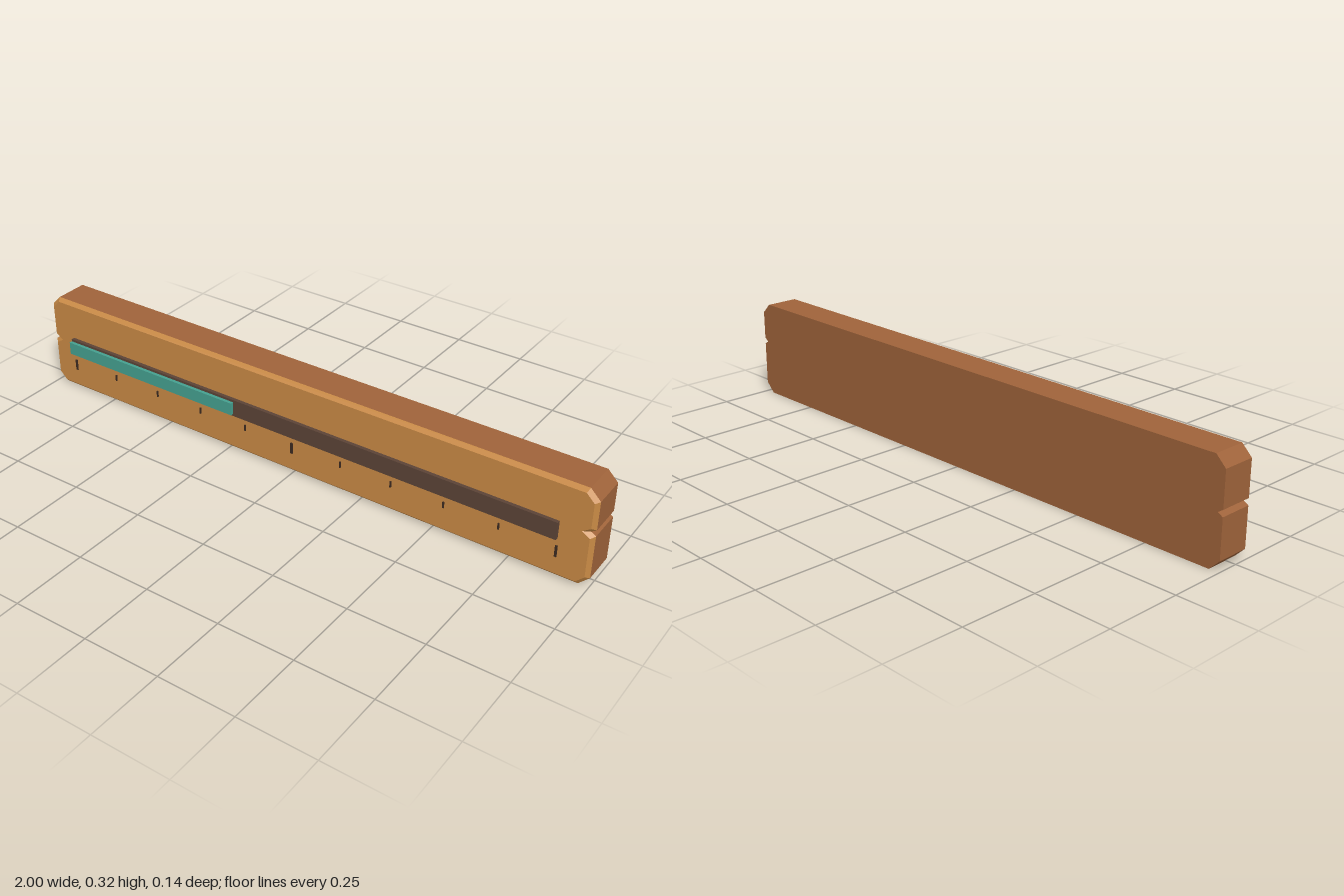
import * as THREE from 'three';

const material = (name, color) => {
  const m = new THREE.MeshStandardMaterial({ color });
  m.name = name;
  return m;
};

// Moves every edge of a counter-clockwise loop inwards by d, with mitred corners
function inset(points, d) {
  const n = points.length;
  const inward = (a, b) => {
    const e = b.clone().sub(a).normalize();
    return new THREE.Vector2(-e.y, e.x);
  };
  return points.map((p, i) => {
    const n1 = inward(points[(i + n - 1) % n], p);
    const n2 = inward(p, points[(i + 1) % n]);
    return p.clone().add(n1.clone().add(n2).multiplyScalar(d / (1 + n1.dot(n2))));
  });
}

// Flat-faced band joining two matching loops at different depths
function band(outer, z0, inner, z1) {
  const pos = [];
  outer.forEach((a, i) => {
    const j = (i + 1) % outer.length;
    const b = outer[j], c = inner[j], d = inner[i];
    pos.push(a.x, a.y, z0, b.x, b.y, z0, c.x, c.y, z1);
    pos.push(a.x, a.y, z0, c.x, c.y, z1, d.x, d.y, z1);
  });
  const g = new THREE.BufferGeometry();
  g.setAttribute('position', new THREE.Float32BufferAttribute(pos, 3));
  g.computeVertexNormals();
  return g;
}

export function createModel() {
  const group = new THREE.Group();
  group.name = 'gaugePlank';
  const wood = material('brown wood', 0x9f633a);
  const face = material('tan wood', 0xc98a45);
  const dark = material('dark brown', 0x5b4336);
  const ink = material('tick brown', 0x3c2a20);
  const teal = material('teal', 0x45a090);

  const add = (name, geometry, mat) => {
    const mesh = new THREE.Mesh(geometry, mat);
    mesh.name = name;
    group.add(mesh);
    return mesh;
  };
  const box = (name, x0, x1, y0, y1, z0, z1, mat) =>
    add(name, new THREE.BoxGeometry(x1 - x0, y1 - y0, z1 - z0), mat)
      .position.set((x0 + x1) / 2, (y0 + y1) / 2, (z0 + z1) / 2);

  // Plank outline: clipped corners and a small V notch in each end
  const H = 0.325, C = 0.033, back = -0.072, shoulder = 0.038, front = 0.05;
  const outline = [
    [-1 + C, 0], [1 - C, 0], [1, C],
    [1, 0.177], [0.984, 0.187], [1, 0.198],
    [1, H - C], [1 - C, H], [-1 + C, H], [-1, H - C],
    [-1, 0.179], [-0.984, 0.168], [-1, 0.158], [-1, C],
  ].map(([x, y]) => new THREE.Vector2(x, y));
  const rim = inset(outline, 0.012);

  const body = new THREE.ExtrudeGeometry(new THREE.Shape(outline),
    { depth: shoulder - back, bevelEnabled: false });
  body.translate(0, 0, back);
  add('plank', body, wood);

  // Bevelled front face
  add('frontBevel', band(outline, shoulder, rim, front), face);
  const panel = new THREE.ShapeGeometry(new THREE.Shape(rim));
  panel.translate(0, 0, front);
  add('frontFace', panel, face);

  // Gauge track with its filled part
  box('track', -0.907, 0.896, 0.134, 0.193, front - 0.004, 0.062, dark);
  box('trackFill', -0.907, -0.222, 0.142, 0.185, 0.06, 0.073, teal);

  // Scale: long ticks at both ends and the middle
  for (let i = 0; i <= 10; i++) {
    const long = i % 5 === 0;
    const x = -0.904 + i * 0.18, w = long ? 0.0035 : 0.0025;
    box('tick', x - w, x + w, long ? 0.071 : 0.088, 0.109, front - 0.002, 0.054, ink);
  }
  return group;
}
